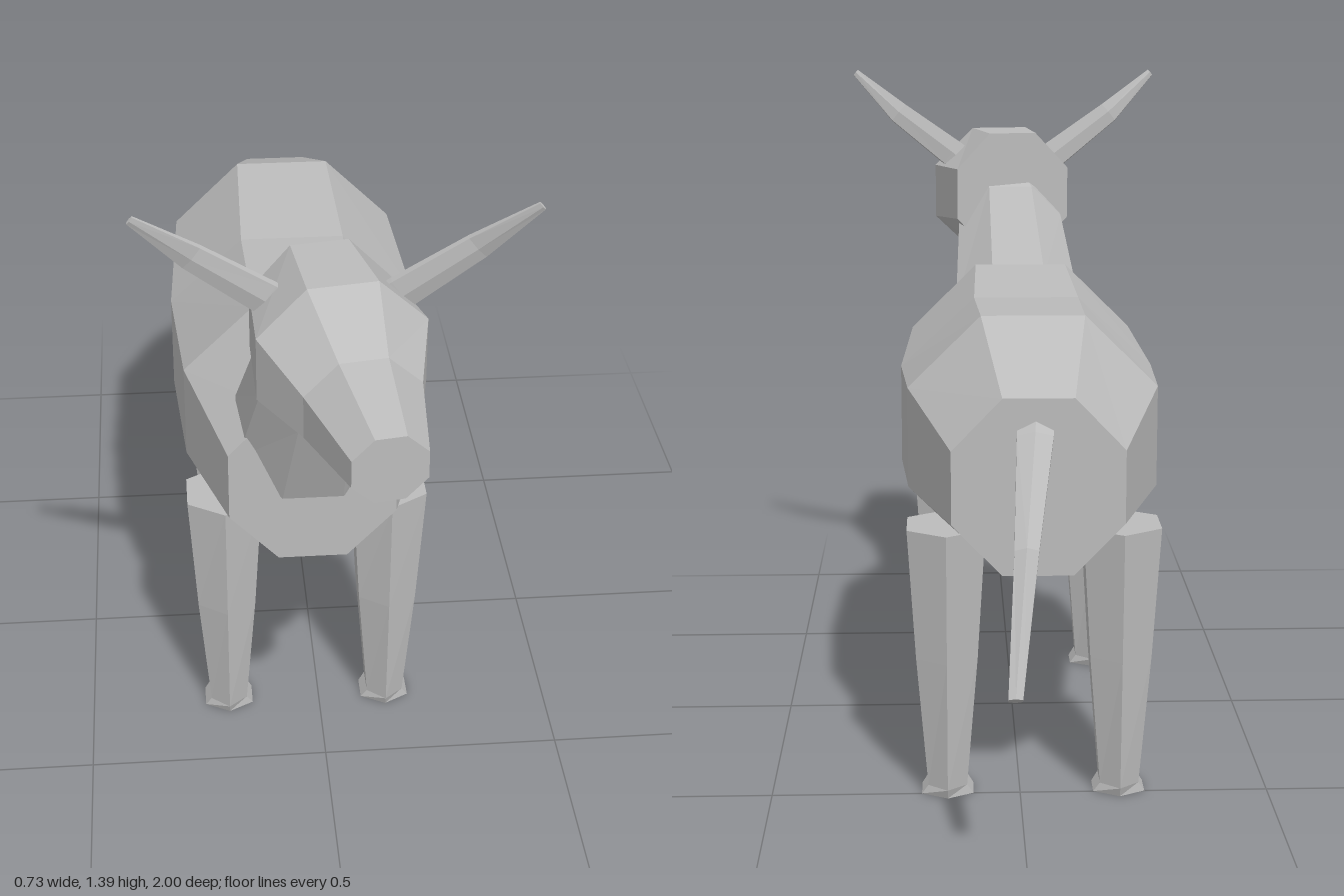
import * as THREE from 'three';

const V = (x, y, z) => new THREE.Vector3(x, y, z);

// Polygon ring around c; u and v are its half extents, phase turns it by a part of one side
function ring(c, u, v, n = 8, phase = 0.5) {
  const angles = Array.from({ length: n }, (_, i) => ((i + phase) / n) * Math.PI * 2);
  const mc = Math.max(...angles.map(Math.cos)), ms = Math.max(...angles.map(Math.sin));
  return angles.map(a => c.clone()
    .addScaledVector(u, Math.cos(a) / mc)
    .addScaledVector(v, Math.sin(a) / ms));
}

// Closed, faceted skin over a row of rings
function loft(rings) {
  const n = rings[0].length, last = rings.length - 1, tris = [];
  for (let r = 0; r < last; r++) {
    for (let i = 0; i < n; i++) {
      const j = (i + 1) % n;
      const a = rings[r][i], b = rings[r][j], c = rings[r + 1][j], d = rings[r + 1][i];
      tris.push([a, b, c], [a, c, d]);
    }
  }
  for (let i = 1; i < n - 1; i++) {
    tris.push([rings[0][0], rings[0][i + 1], rings[0][i]]);
    tris.push([rings[last][0], rings[last][i], rings[last][i + 1]]);
  }
  // Turn the faces outward whichever way the rings run
  const volume = tris.reduce((s, [a, b, c]) => s + a.dot(b.clone().cross(c)), 0);
  const pts = tris.flatMap(([a, b, c]) => (volume < 0 ? [a, c, b] : [a, b, c]));
  const geo = new THREE.BufferGeometry().setFromPoints(pts);
  geo.computeVertexNormals();
  return geo;
}

export function createModel() {
  const model = new THREE.Group();
  model.name = 'hornedAnimal';
  const grey = new THREE.MeshStandardMaterial({ color: 0xbcbcbc, flatShading: true });
  grey.name = 'grey';
  const add = (name, rings) => {
    const mesh = new THREE.Mesh(loft(rings), grey);
    mesh.name = name;
    model.add(mesh);
  };
  const midX = -0.027;

  // Body: z, centre height, half width, half height
  add('body', [
    [0.485, 0.695, 0.168, 0.178],
    [0.245, 0.724, 0.247, 0.244],
    [-0.09, 0.696, 0.267, 0.25],
    [-0.43, 0.722, 0.247, 0.243],
    [-0.69, 0.685, 0.163, 0.17],
  ].map(([z, y, w, h]) => ring(V(midX, y, z), V(w, 0, 0), V(0, h, 0))));

  // Neck: centre x, half width, then throat and nape points as [z, y]
  add('neck', [
    [midX, 0.147, [0.487, 0.663], [0.355, 0.93]],
    [-0.012, 0.122, [0.572, 0.875], [0.497, 1.12]],
    [0, 0.105, [0.62, 1.0], [0.56, 1.15]],
  ].map(([x, w, [z0, y0], [z1, y1]]) => ring(
    V(x, (y0 + y1) / 2, (z0 + z1) / 2),
    V(w, 0, 0),
    V(0, (y1 - y0) / 2, (z1 - z0) / 2))));

  // Head, turned slightly to its left: x, y, z, half width, half height
  const yaw = 0.155;
  add('head', [
    [-0.018, 1.103, 0.507, 0.134, 0.143],
    [0.01, 1.095, 0.675, 0.159, 0.152],
    [0.035, 1.065, 0.8, 0.108, 0.1],
    [0.062, 1.064, 0.988, 0.068, 0.063],
  ].map(([x, y, z, w, h]) => ring(
    V(x, y, z), V(w * Math.cos(yaw), 0, -w * Math.sin(yaw)), V(0, h, 0))));

  for (const s of [-1, 1]) {
    const side = s > 0 ? 'left' : 'right';

    // Horns, flattened front to back: x, y, z, half width, half thickness
    add(side + 'Horn', [
      [0.09, 1.162, 0.597, 0.033, 0.012],
      [0.125, 1.19, 0.603, 0.032, 0.012],
      [0.255, 1.287, 0.622, 0.025, 0.009],
      [0.36, 1.382, 0.66, 0.008, 0.004],
    ].map(([x, y, z, w, t]) => ring(
      V(s * x, y, z), V(-s * w * 0.65, w * 0.76, 0), V(0, -t * 0.3, t), 6)));

    // Legs: six-sided, tapering to a small flared foot
    for (const [end, z, depth] of [['Front', 0.295, 0.092], ['Back', -0.472, 0.1]]) {
      add(side + end + 'Leg', [
        [0.557, 0.077, depth],
        [0.29, 0.061, 0.081],
        [0.02, 0.039, 0.063],
        [0, 0.052, 0.055],
      ].map(([y, w, d]) => ring(
        V(midX + s * 0.173, y, z), V(w, 0, 0), V(0, 0, d), 6, 0.5)));
    }
  }

  // Tail: x, y, z, half width, half thickness
  add('tail', [
    [-0.022, 0.8, -0.66, 0.034, 0.028],
    [-0.02, 0.777, -0.69, 0.034, 0.028],
    [0.002, 0.61, -0.862, 0.022, 0.021],
    [0.026, 0.382, -0.992, 0.013, 0.008],
  ].map(([x, y, z, w, t]) => ring(
    V(x, y, z), V(w, 0, 0), V(0, t * 0.7, -t * 0.7), 6)));

  return model;
}
